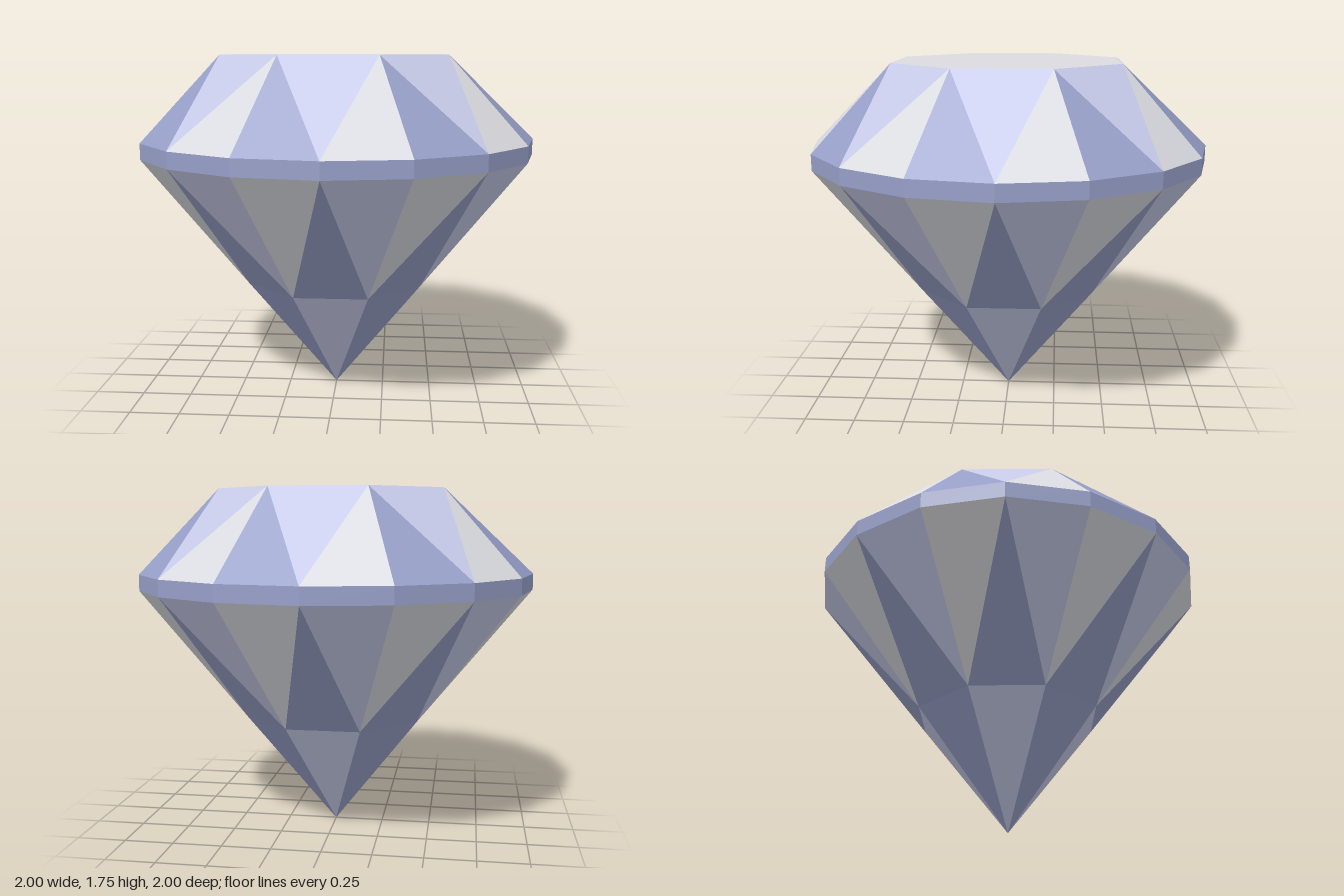
import * as THREE from 'three';

const paint = (name, color) => {
  const m = new THREE.MeshStandardMaterial({ color });
  m.name = name;
  return m;
};

// Ring point: step counts 1/16 turns from the front (+z) towards +x
const at = (radius, y, step) => {
  const a = (step * Math.PI) / 8;
  return [Math.sin(a) * radius, y, Math.cos(a) * radius];
};

// Flat facets from a list of triangles, corners counter-clockwise from outside
function facets(name, triangles, material) {
  const g = new THREE.BufferGeometry();
  g.setAttribute('position', new THREE.Float32BufferAttribute(triangles.flat(2), 3));
  g.computeVertexNormals();
  const mesh = new THREE.Mesh(g, material);
  mesh.name = name;
  return mesh;
}

export function createModel() {
  const gem = new THREE.Group();
  gem.name = 'cutGem';

  const paleGrey = paint('paleGrey', 0xdadbe0);
  const lavender = paint('lavender', 0xc6cae8);
  const blue = paint('blue', 0x979fc8);

  const table = (k) => at(0.6, 1.75, k);      // octagon, odd steps
  const upper = (k) => at(1, 1.33, k);        // girdle top, every step
  const lower = (k) => at(1, 1.25, k);        // girdle bottom, every step
  const waist = (k) => at(0.475, 0.59, k);    // pavilion octagon, odd steps
  const tip = [0, 0, 0];

  const top = [], girdle = [], stars = [], crownGrey = [], crownBlue = [];
  const pavilionLavender = [], pavilionGrey = [], pavilionBlue = [];
  const tipLavender = [], tipBlue = [];

  for (let k = 0; k < 16; k++) {
    girdle.push([lower(k), lower(k + 1), upper(k + 1)], [lower(k), upper(k + 1), upper(k)]);
    const corner = k % 2 ? k : k + 1;         // nearest octagon corner
    (k % 2 ? crownBlue : crownGrey).push([upper(k), upper(k + 1), table(corner)]);
    (k % 2 ? pavilionGrey : pavilionLavender).push([lower(k + 1), lower(k), waist(corner)]);
  }
  for (let k = 0; k < 16; k += 2) {
    top.push([[0, 1.75, 0], table(k - 1), table(k + 1)]);
    stars.push([upper(k), table(k + 1), table(k - 1)]);
    pavilionBlue.push([lower(k), waist(k - 1), waist(k + 1)]);
    (k % 4 ? tipBlue : tipLavender).push([tip, waist(k + 1), waist(k - 1)]);
  }

  gem.add(
    facets('table', top, paleGrey),
    facets('crownStarFacets', stars, lavender),
    facets('crownPaleFacets', crownGrey, paleGrey),
    facets('crownBlueFacets', crownBlue, blue),
    facets('girdle', girdle, blue),
    facets('pavilionLavenderFacets', pavilionLavender, lavender),
    facets('pavilionPaleFacets', pavilionGrey, paleGrey),
    facets('pavilionBlueFacets', pavilionBlue, blue),
    facets('tipLavenderFacets', tipLavender, lavender),
    facets('tipBlueFacets', tipBlue, blue),
  );
  return gem;
}
